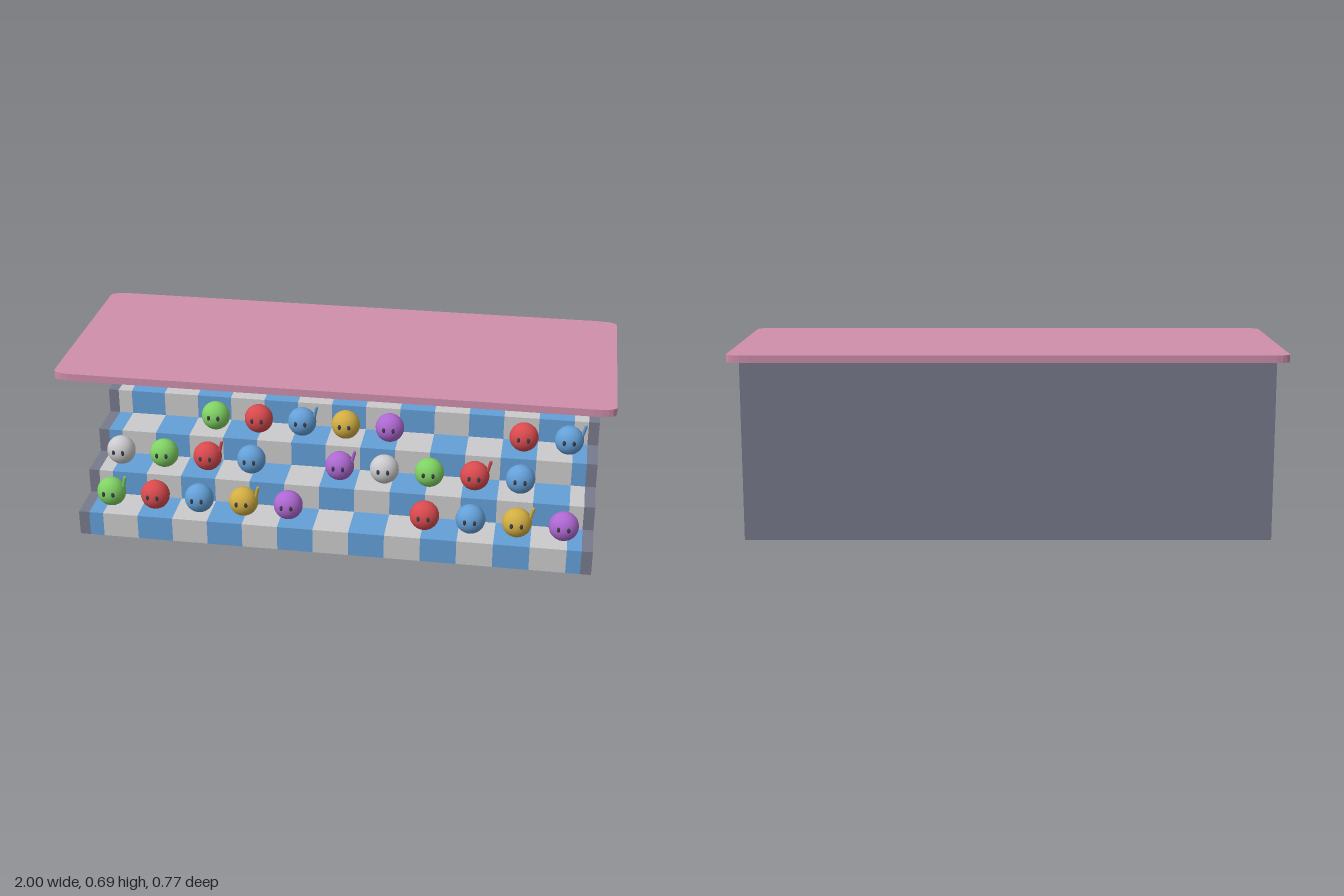
import * as THREE from 'three';

const material = (name, color) => {
  const m = new THREE.MeshStandardMaterial({ color });
  m.name = name;
  return m;
};

export function createModel() {
  const stand = new THREE.Group();
  stand.name = 'grandstand';
  const pink = material('roof pink', 0xcf8fac);
  const grey = material('concrete grey', 0x777a8c);
  const dark = material('eye dark', 0x3c3e4a);
  const fans = {
    b: material('blue', 0x64a0d8),
    w: material('white', 0xcbcbcd),
    r: material('red', 0xd94a4e),
    g: material('green', 0x80d263),
    p: material('purple', 0xae68d2),
    y: material('gold', 0xd2ae42),
  };

  const add = (parent, name, geometry, mat, x = 0, y = 0, z = 0) => {
    const mesh = new THREE.Mesh(geometry, mat);
    mesh.name = name;
    mesh.position.set(x, y, z);
    parent.add(mesh);
    return mesh;
  };

  const front = 0.347, depth = 0.1543, rise = 0.0965;
  const wallFront = front - 4 * depth, wallBack = -0.325, wallTop = 0.655;
  const inner = 0.92, outer = 0.96;

  // Roof slab with softly rounded corners
  const X = 1, Z = 0.385, cx = 0.08, cz = 0.03;
  const roofShape = new THREE.Shape();
  roofShape.moveTo(-X + cx, -Z);
  roofShape.lineTo(X - cx, -Z);
  roofShape.quadraticCurveTo(X, -Z, X, -Z + cz);
  roofShape.lineTo(X, Z - cz);
  roofShape.quadraticCurveTo(X, Z, X - cx, Z);
  roofShape.lineTo(-X + cx, Z);
  roofShape.quadraticCurveTo(-X, Z, -X, Z - cz);
  roofShape.lineTo(-X, -Z + cz);
  roofShape.quadraticCurveTo(-X, -Z, -X + cx, -Z);
  const roof = new THREE.ExtrudeGeometry(roofShape, { depth: 0.027, bevelEnabled: false, curveSegments: 5 });
  roof.rotateX(-Math.PI / 2);
  add(stand, 'roof', roof, pink, 0, 0.661, 0);

  // Stepped side walls: profile in (-z, y), extruded along x
  const side = new THREE.Shape();
  side.moveTo(-front, 0);
  for (let i = 0; i < 4; i++) {
    side.lineTo(-front + i * depth, (i + 1) * rise);
    side.lineTo(-front + (i + 1) * depth, (i + 1) * rise);
  }
  side.lineTo(-wallFront, wallTop);
  side.lineTo(-wallBack, wallTop);
  side.lineTo(-wallBack, 0);
  side.closePath();
  const sideGeometry = new THREE.ExtrudeGeometry(side, { depth: outer - inner, bevelEnabled: false });
  sideGeometry.rotateY(Math.PI / 2);
  add(stand, 'leftSideWall', sideGeometry, grey, inner);
  add(stand, 'rightSideWall', sideGeometry, grey, -outer);

  // Back wall between the sides
  add(stand, 'backWall', new THREE.BoxGeometry(2 * inner, wallTop, wallFront - wallBack), grey,
    0, wallTop / 2, (wallFront + wallBack) / 2);

  // Steps made of blocks in a checker pattern
  const pitch = 0.1333;
  for (let row = 0; row < 4; row++) {
    const step = new THREE.Group();
    step.name = `step${row + 1}`;
    stand.add(step);
    const h = (row + 1) * rise;
    for (let c = -7; c <= 7; c++) {
      const x0 = Math.max(-inner, (c - 0.5) * pitch);
      const x1 = Math.min(inner, (c + 0.5) * pitch);
      const mat = (row + c + 7) % 2 === 0 ? fans.b : fans.w;
      add(step, 'stepBlock', new THREE.BoxGeometry(x1 - x0, h, depth), mat,
        (x0 + x1) / 2, h / 2, front - (row + 0.5) * depth);
    }
  }

  // Spectators: round body, two eyes, sometimes a raised arm (capital letter)
  const body = new THREE.SphereGeometry(1, 20, 14).scale(0.055, 0.0565, 0.049);
  const eye = new THREE.SphereGeometry(1, 10, 8).scale(0.0065, 0.0105, 0.004);
  const armPath = new THREE.LineCurve3(new THREE.Vector3(0.044, 0.008, 0), new THREE.Vector3(0.058, 0.066, 0.008));
  const arm = new THREE.TubeGeometry(armPath, 1, 0.006, 8);
  const cap = new THREE.SphereGeometry(0.006, 8, 6);
  const seats = ['Grb Yp--rbYp'.replace(' ', ''), 'wgRb-PwgRb-', '--grByp--rB', 'YpwGr--pwGr'];
  seats.forEach((line, row) => {
    [...line].forEach((key, i) => {
      if (key === '-') return;
      const mat = fans[key.toLowerCase()];
      const fan = new THREE.Group();
      fan.name = 'spectator';
      fan.position.set((i - 5) * 0.17, (row + 1) * rise + 0.056, front - 0.075 - row * depth);
      add(fan, 'body', body, mat);
      for (const s of [-1, 1]) add(fan, 'eye', eye, dark, s * 0.018, 0.008, 0.0455);
      if (key !== key.toLowerCase()) {
        add(fan, 'arm', arm, mat);
        add(fan, 'armTip', cap, mat, 0.058, 0.066, 0.008);
      }
      stand.add(fan);
    });
  });

  return stand;
}
